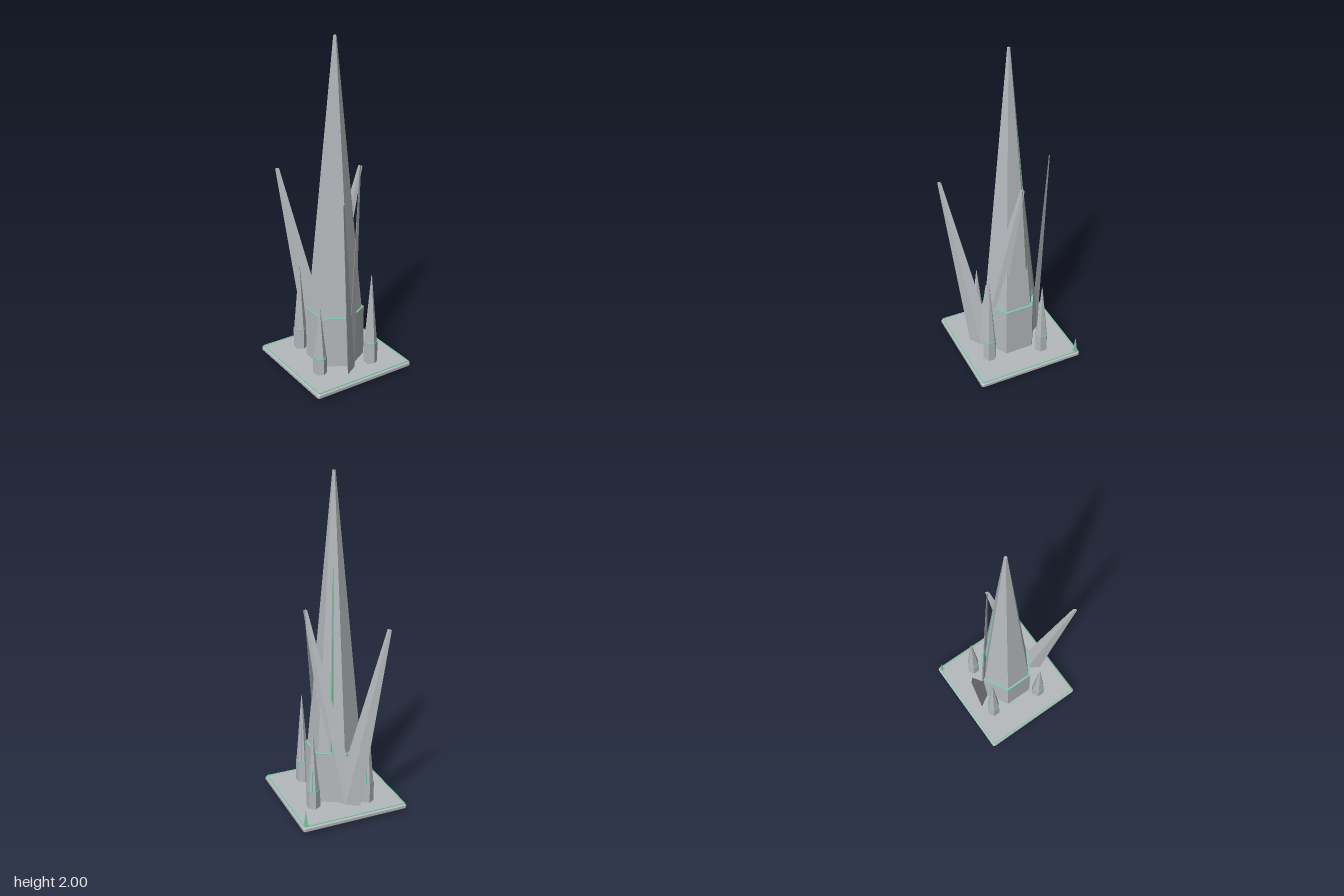
import * as THREE from 'three';

export function createModel() {
  const model = new THREE.Group();
  const stone = new THREE.MeshStandardMaterial({ color: 0xb6babd, flatShading: true });
  stone.name = 'grey stone';
  const green = new THREE.MeshStandardMaterial({ color: 0x80cba9, flatShading: true });
  green.name = 'pale green trim';

  const add = (name, geometry, material, parent = model) => {
    const mesh = new THREE.Mesh(geometry, material);
    mesh.name = name;
    parent.add(mesh);
    return mesh;
  };

  // Upright frustum between two heights; six sides point their corners along z
  const frustum = (rTop, rBottom, y0, y1, sides = 6) =>
    new THREE.CylinderGeometry(rTop, rBottom, y1 - y0, sides).translate(0, (y0 + y1) / 2, 0);

  // Four-sided tapering bar from a to b, flattened across its horizontal width axis
  const bar = (a, b, r0, r1, flat) => {
    const axis = b.clone().sub(a);
    const length = axis.length();
    axis.normalize();
    const side = new THREE.Vector3(-axis.z, 0, axis.x).normalize();
    const frame = new THREE.Matrix4().makeBasis(axis.clone().cross(side), axis, side);
    return new THREE.CylinderGeometry(r1, r0, length, 4)
      .translate(0, length / 2, 0).scale(1, 1, flat)
      .applyMatrix4(frame.setPosition(a));
  };

  // Square outline with clipped corners
  const outline = (target, h, c) => {
    target.setFromPoints([[h - c, -h], [h, c - h], [h, h - c], [h - c, h],
      [c - h, h], [-h, h - c], [-h, c - h], [c - h, -h]].map(([x, y]) => new THREE.Vector2(x, y)));
    target.closePath();
    return target;
  };

  // Chamfered base slab, lying flat
  const slab = new THREE.ExtrudeGeometry(outline(new THREE.Shape(), 0.32, 0.004), {
    depth: 0.016, bevelEnabled: true, bevelSize: 0.01, bevelThickness: 0.01, bevelSegments: 1,
  });
  add('base', slab.rotateX(-Math.PI / 2).translate(0, 0.032, 0), stone);

  // Thin frame around the top of the base
  const frameShape = outline(new THREE.Shape(), 0.322, 0.004);
  frameShape.holes.push(outline(new THREE.Path(), 0.315, 0.003));
  const frame = new THREE.ExtrudeGeometry(frameShape, { depth: 0.004, bevelEnabled: false });
  add('baseTrim', frame.rotateX(-Math.PI / 2).translate(0, 0.056, 0), green);

  // Hexagonal spire: shaft, ledge, tapering roof and a sliver lying on one roof face
  const spire = (name, x, z, o) => {
    const group = new THREE.Group();
    group.name = name;
    group.position.set(x, 0, z);
    add('shaft', frustum(o.r, o.r, 0.05, o.ledge), stone, group);
    add('ledge', frustum(o.r, o.r, o.ledge, o.ledge + 0.005), green, group);
    add('roof', frustum(o.tip, o.roof, o.ledge + 0.004, o.top), stone, group);
    const onFace = (t) => {
      const d = THREE.MathUtils.lerp(o.roof, o.tip, t) * Math.cos(Math.PI / 6);
      return new THREE.Vector3(d * 0.5, THREE.MathUtils.lerp(o.ledge, o.top, t), -d * 0.866);
    };
    add('sliver', bar(onFace(0.01), onFace(0.68), o.sliver, o.sliver * 0.25, 1), green, group);
    model.add(group);
  };
  spire('mainSpire', 0, 0, { r: 0.174, roof: 0.16, tip: 0.009, ledge: 0.372, top: 2, sliver: 0.011 });
  for (const [x, z, top] of [[0.13, 0.19, 0.63], [0.19, -0.13, 0.53], [-0.13, -0.19, 0.61], [-0.19, 0.13, 0.48]]) {
    spire('smallSpire', x, z, {
      r: 0.0415, roof: 0.038, tip: 0.002, ledge: 0.055 + 0.235 * (top - 0.055), top, sliver: 0.003,
    });
  }

  // Two pairs of leaning diamond-section blades, mirrored front to back
  for (const s of [1, -1]) {
    const v = (x, y, z) => new THREE.Vector3(x, y, z * s);
    add('outerBlade', bar(v(0, 0.02, 0.175), v(-0.175, 1.188, 0.35), 0.085, 0.012, 0.26), stone);
    add('innerBlade', bar(v(0, 0.07, 0.175), v(0.175, 1.238, 0), 0.085, 0.012, 0.26), stone);
  }

  // Little corner spike on a square foot
  const corner = new THREE.Group();
  corner.name = 'cornerSpike';
  corner.position.set(0.308, 0, -0.308);
  corner.add();
  add('foot', frustum(0.015, 0.015, 0.05, 0.07, 4).rotateY(Math.PI / 4), green, corner);
  add('point', frustum(0.001, 0.012, 0.07, 0.155, 4).rotateY(Math.PI / 4), green, corner);
  model.add(corner);

  return model;
}
